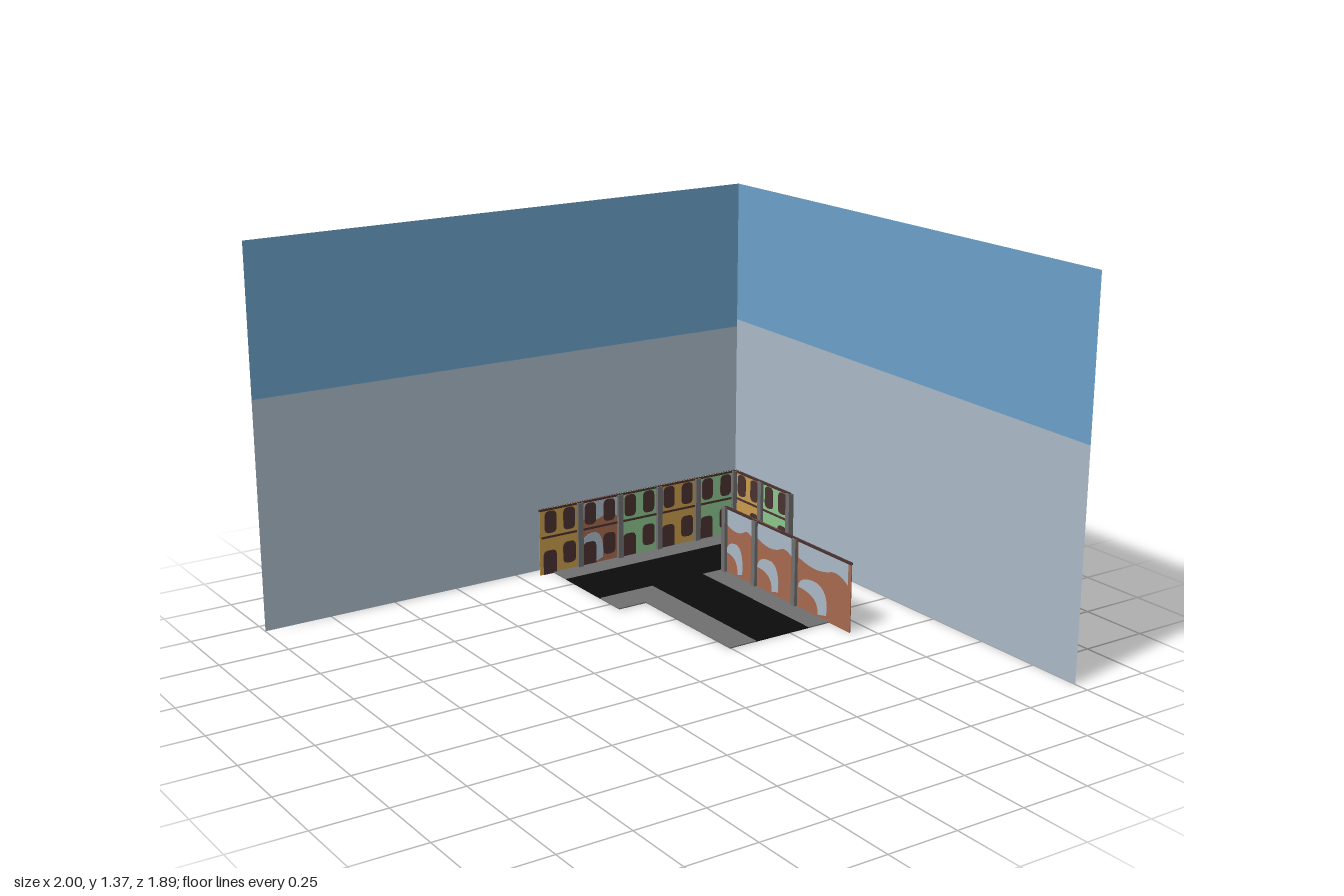
import * as THREE from 'three';

const mat = (name, color, side = THREE.FrontSide) => {
  const m = new THREE.MeshStandardMaterial({ color, side });
  m.name = name;
  return m;
};

export function createModel() {
  const M = {
    sky: mat('skyBlue', 0x6ca2ca, THREE.DoubleSide),
    haze: mat('hazeGrey', 0xabbbc8, THREE.DoubleSide),
    road: mat('asphalt', 0x0c0c0c),
    pavement: mat('pavementGrey', 0x707070),
    yellow: mat('ochrePlaster', 0xc99c4b),
    green: mat('greenPlaster', 0x8cc68e),
    brick: mat('brick', 0xa76a4e),
    dark: mat('darkBrown', 0x4a3231),
  };
  const root = new THREE.Group();
  root.name = 'streetDiorama';
  const H = 0.257;

  const add = (parent, name, geometry, material, x = 0, y = 0, z = 0) => {
    const mesh = new THREE.Mesh(geometry, material);
    mesh.name = name;
    mesh.position.set(x, y, z);
    parent.add(mesh);
    return mesh;
  };
  const polygon = (pts) => new THREE.Shape(pts.map(([x, y]) => new THREE.Vector2(x, y)));

  // Backdrop: two upright sheets, each split at a slightly sloping horizon
  const backdrop = (name, half, leftY, rightY) => {
    const g = new THREE.Group();
    g.name = name;
    const a = [-half, leftY], b = [half, rightY];
    add(g, 'haze', new THREE.ShapeGeometry(polygon([[-half, 0], [half, 0], b, a])), M.haze);
    add(g, 'sky', new THREE.ShapeGeometry(polygon([a, b, [half, 1.37], [-half, 1.37]])), M.sky);
    root.add(g);
    return g;
  };
  backdrop('backBackdrop', 1, 0.83, 0.817).position.z = -0.945;
  const side = backdrop('sideBackdrop', 0.945, 0.845, 0.81);
  side.rotation.y = -Math.PI / 2;
  side.position.x = 1;

  // Ground: thin slabs given as [x0, x1, z0, z1]
  const slab = (name, material, [x0, x1, z0, z1]) =>
    add(root, name, new THREE.BoxGeometry(x1 - x0, 0.004, z1 - z0), material,
      (x0 + x1) / 2, 0.002, (z0 + z1) / 2);
  [[0.13, 0.9, -0.8, -0.565], [0.355, 0.58, -0.565, 0.075]]
    .forEach((r) => slab('road', M.road, r));
  [[0.13, 0.97, -0.895, -0.8], [0.9, 0.97, -0.8, -0.565], [0.58, 0.67, -0.565, 0.075],
    [0.13, 0.355, -0.565, -0.44], [0.245, 0.355, -0.44, 0.075]]
    .forEach((r) => slab('pavement', M.pavement, r));

  // Painted detail that shows on both faces of a thin facade
  const paint = (parent, name, shape, material, depth) =>
    add(parent, name, new THREE.ExtrudeGeometry(shape, { depth, bevelEnabled: false, curveSegments: 6 }),
      material, 0, 0, -depth / 2);
  const arched = (cx, y0, y1, w, roundBottom = true) => {
    const s = new THREE.Shape(), r = 0.02, l = cx - w / 2, t = cx + w / 2, b = roundBottom ? r : 0;
    s.moveTo(l, y0 + b);
    s.lineTo(l, y1 - r);
    s.quadraticCurveTo(l, y1, l + r, y1);
    s.lineTo(t - r, y1);
    s.quadraticCurveTo(t, y1, t, y1 - r);
    s.lineTo(t, y0 + b);
    if (roundBottom) s.quadraticCurveTo(t, y0, t - r, y0);
    else s.lineTo(t, y0);
    s.lineTo(l + b, y0);
    if (roundBottom) s.quadraticCurveTo(l, y0, l, y0 + b);
    return s;
  };
  const bar = (x0, x1, y0, y1) => polygon([[x0, y0], [x1, y0], [x1, y1], [x0, y1]]);

  // Facade: wall, windows, door, trims; brick ones carry pale worn patches
  const facade = (w, material, windows = true) => {
    const g = new THREE.Group();
    g.name = 'facade';
    add(g, 'wall', new THREE.BoxGeometry(w, H, 0.003), material, w / 2, H / 2, 0);
    if (material === M.brick) {
      const upper = new THREE.Shape();
      upper.moveTo(0.05 * w, H - 0.01);
      upper.lineTo(0.95 * w, H - 0.01);
      upper.lineTo(0.95 * w, 0.17);
      upper.quadraticCurveTo(0.75 * w, 0.21, 0.6 * w, 0.185);
      upper.quadraticCurveTo(0.35 * w, 0.16, 0.05 * w, 0.19);
      paint(g, 'upperPatch', upper, M.haze, 0.005);
      const lower = new THREE.Shape();
      lower.moveTo(0.05 * w, 0.08);
      lower.quadraticCurveTo(0.08 * w, 0.13, 0.4 * w, 0.125);
      lower.quadraticCurveTo(0.62 * w, 0.11, 0.58 * w, 0.02);
      lower.lineTo(0.42 * w, 0.01);
      lower.quadraticCurveTo(0.45 * w, 0.08, 0.05 * w, 0.08);
      paint(g, 'lowerPatch', lower, M.haze, 0.005);
    }
    if (windows) {
      for (const u of [0.27, 0.74]) paint(g, 'upperWindow', arched(u * w, 0.16, 0.246, 0.05), M.dark, 0.008);
      paint(g, 'lowerWindow', arched(0.74 * w, 0.028, 0.112, 0.054), M.dark, 0.008);
      paint(g, 'door', arched(0.25 * w, 0, 0.092, 0.056, false), M.dark, 0.008);
      paint(g, 'middleTrim', bar(0.04 * w, 0.96 * w, 0.141, 0.149), M.dark, 0.008);
    }
    paint(g, 'cornice', bar(0, w, 0.249, H), M.dark, 0.009);
    return g;
  };

  // Drainpipe: an upright channel open towards the wall
  const channel = polygon([[-0.011, 0.01], [-0.011, -0.012], [0.011, -0.012], [0.011, 0.01],
    [0.007, 0.01], [0.007, -0.008], [-0.007, -0.008], [-0.007, 0.01]]);
  const pipeGeometry = new THREE.ExtrudeGeometry(channel, { depth: H - 0.002, bevelEnabled: false });
  pipeGeometry.rotateX(-Math.PI / 2);

  // Rows of facades, with pipes at the listed positions along each row
  const row = (name, [x, z], turn, houses, pipes) => {
    const g = new THREE.Group();
    g.name = name;
    let at = 0;
    for (const [w, material, windows] of houses) {
      const f = facade(w, material, windows);
      f.position.x = at;
      g.add(f);
      at += w;
    }
    for (const p of pipes) add(g, 'drainpipe', pipeGeometry, M.pavement, p, 0, 0.002);
    g.position.set(x, 0, z);
    g.rotation.y = turn;
    root.add(g);
  };
  row('backRow', [0.073, -0.894], 0,
    [[0.172, M.yellow], [0.178, M.brick], [0.178, M.green], [0.178, M.yellow], [0.184, M.green]],
    [0.172, 0.35, 0.528, 0.706, 0.882]);
  row('cornerRow', [0.963, -0.894], -Math.PI / 2,
    [[0.176, M.yellow], [0.18, M.green]], [0.176, 0.354]);
  row('sideRow', [0.672, -0.55], -Math.PI / 2,
    [[0.19, M.brick, false], [0.24, M.brick, false], [0.31, M.brick, false]], [0.002, 0.19, 0.43]);

  return root;
}
